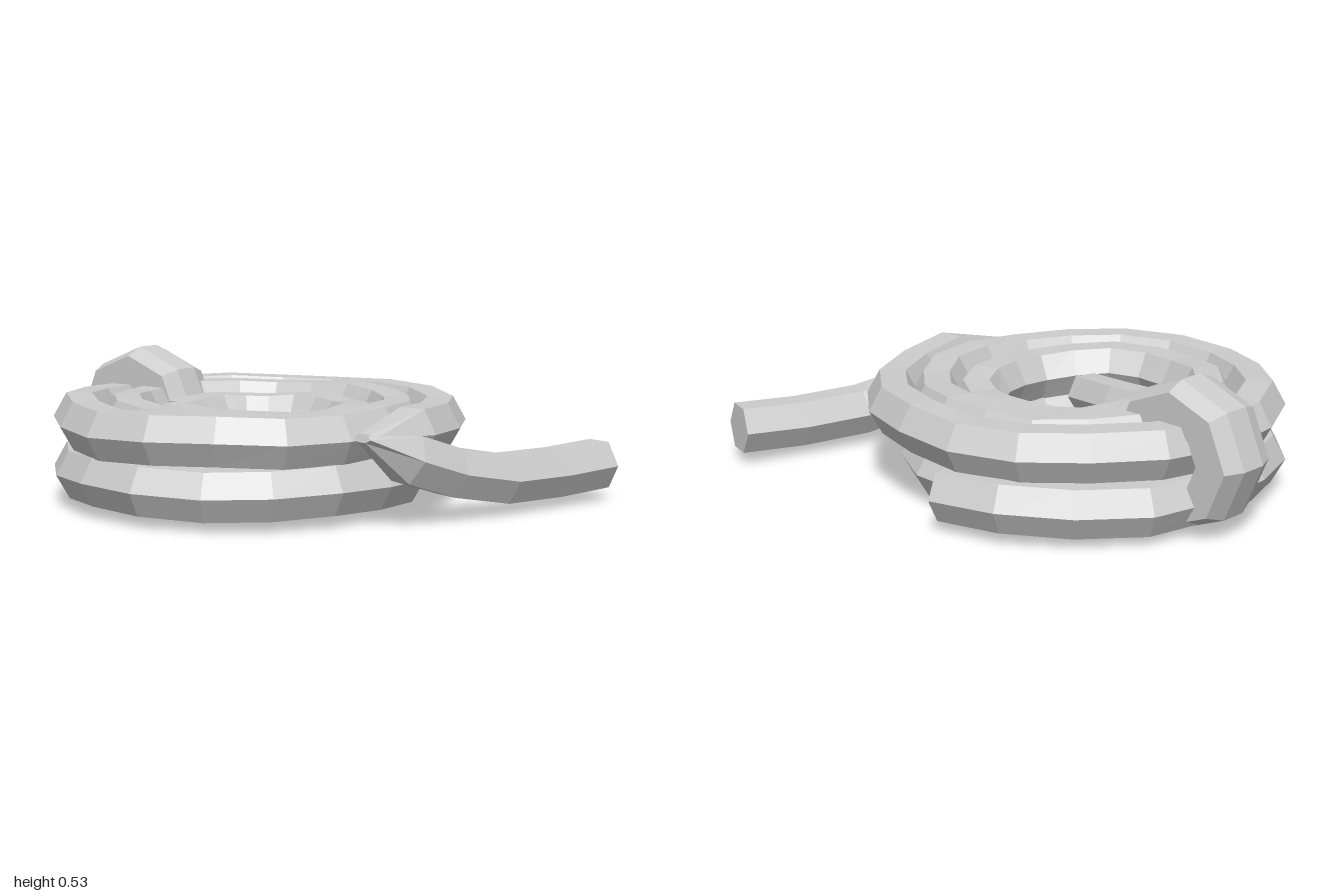
import * as THREE from 'three';

const ropeGrey = new THREE.MeshStandardMaterial({ color: 0xcccccc, flatShading: true });
ropeGrey.name = 'rope grey';

const HEX = [[1, 0], [0.5, 0.9], [-0.5, 0.9], [-1, 0], [-0.5, -0.9], [0.5, -0.9]];
const WRAP = [[0.12, 0.07], [0.05, 0.1], [-0.05, 0.1], [-0.12, 0.07], [-0.12, -0.05], [-0.05, -0.09], [0.05, -0.09], [0.12, -0.05]];

// Join rings of points into a skin, either closed or with end caps
function skin(name, rings, closed) {
  const pos = [], n = rings[0].length;
  const tri = (a, b, c) => pos.push(...a.toArray(), ...b.toArray(), ...c.toArray());
  const count = closed ? rings.length : rings.length - 1;
  for (let i = 0; i < count; i++) {
    const a = rings[i], b = rings[(i + 1) % rings.length];
    for (let j = 0; j < n; j++) {
      const k = (j + 1) % n;
      tri(a[j], a[k], b[j]);
      tri(a[k], b[k], b[j]);
    }
  }
  if (!closed) {
    const first = rings[0], last = rings[rings.length - 1];
    for (let j = 1; j < n - 1; j++) {
      tri(first[0], first[j + 1], first[j]);
      tri(last[0], last[j], last[j + 1]);
    }
  }
  const geo = new THREE.BufferGeometry();
  geo.setAttribute('position', new THREE.Float32BufferAttribute(pos, 3));
  geo.computeVertexNormals();
  const mesh = new THREE.Mesh(geo, ropeGrey);
  mesh.name = name;
  return mesh;
}

// Sweep a six-sided rope along points, keeping its top flat; pinch narrows the first ring
function rope(name, pts, radius, pinch = [1, 1]) {
  const up = new THREE.Vector3(0, 1, 0);
  const rings = pts.map((p, i) => {
    const t = pts[Math.min(i + 1, pts.length - 1)].clone().sub(pts[Math.max(i - 1, 0)]).normalize();
    const side = new THREE.Vector3().crossVectors(up, t).normalize();
    const lift = new THREE.Vector3().crossVectors(t, side);
    const [w, h] = i === 0 ? pinch : [1, 1];
    return HEX.map(([u, v]) => p.clone().addScaledVector(side, u * radius * w).addScaledVector(lift, v * radius * h));
  });
  return skin(name, rings, false);
}

// Spiral from keys of [angle from the front in degrees, radius, height]
function spiral(keys, step) {
  const pts = [], start = keys[0][0], end = keys[keys.length - 1][0];
  const count = Math.round((end - start) / step);
  for (let i = 0; i <= count; i++) {
    const deg = start + (end - start) * i / count;
    let k = 0;
    while (k < keys.length - 2 && deg > keys[k + 1][0]) k++;
    const f = (deg - keys[k][0]) / (keys[k + 1][0] - keys[k][0]);
    const r = THREE.MathUtils.lerp(keys[k][1], keys[k + 1][1], f) + 0.006 * Math.sin(i * 2.3);
    const y = THREE.MathUtils.lerp(keys[k][2], keys[k + 1][2], f) + 0.006 * Math.sin(i * 1.7);
    const a = THREE.MathUtils.degToRad(deg);
    pts.push(new THREE.Vector3(-0.02 + r * Math.sin(a), y, -0.13 + r * Math.cos(a)));
  }
  return pts;
}

const path = list => list.map(p => new THREE.Vector3(...p));

export function createModel() {
  const model = new THREE.Group();
  model.name = 'coiledRope';

  // Upper coil, pinched where it folds back from the loose tail
  const upper = spiral([
    [-24, 0.765, 0.325], [0, 0.705, 0.305], [45, 0.68, 0.305], [90, 0.64, 0.305], [180, 0.65, 0.305],
    [270, 0.64, 0.305], [360, 0.56, 0.305], [450, 0.485, 0.305], [540, 0.48, 0.305],
    [630, 0.465, 0.3], [720, 0.4, 0.28], [810, 0.33, 0.27], [900, 0.3, 0.27], [915, 0.3, 0.27],
  ], 20);
  model.add(rope('upperCoil', upper, 0.096, [0.45, 0.15]));

  // Lower coil, with its outer end cut on the left side
  const lower = spiral([
    [91, 0.69, 0.125], [180, 0.66, 0.125], [270, 0.64, 0.125], [360, 0.575, 0.125],
    [450, 0.55, 0.125], [540, 0.5, 0.125], [630, 0.48, 0.125], [720, 0.415, 0.125],
    [810, 0.34, 0.13], [900, 0.31, 0.13], [995, 0.29, 0.13],
  ], 20);
  model.add(rope('lowerCoil', lower, 0.096));

  // Loose tail in front, rising to the fold
  const tail = path([[-0.345, 0.325, 0.57], [-0.16, 0.24, 0.63], [0.03, 0.175, 0.69],
    [0.25, 0.13, 0.77], [0.5, 0.125, 0.84], [0.73, 0.135, 0.912]]);
  model.add(rope('looseTail', tail, 0.095, [0.45, 0.15]));

  // Inner end lying across the middle
  model.add(rope('innerEnd', path([[-0.14, 0.28, -0.43], [-0.17, 0.265, -0.2], [-0.235, 0.24, 0.03]]), 0.08));

  // Thick loop binding the coils at the back
  const loop = [];
  for (let i = 0; i < 8; i++) {
    const a = i * Math.PI / 4;
    loop.push(WRAP.map(([u, v]) => new THREE.Vector3(
      0.08 + u, 0.265 + (0.165 + v) * Math.cos(a), -0.73 + (0.17 + v) * Math.sin(a))));
  }
  model.add(skin('bindingLoop', loop, true));
  return model;
}
